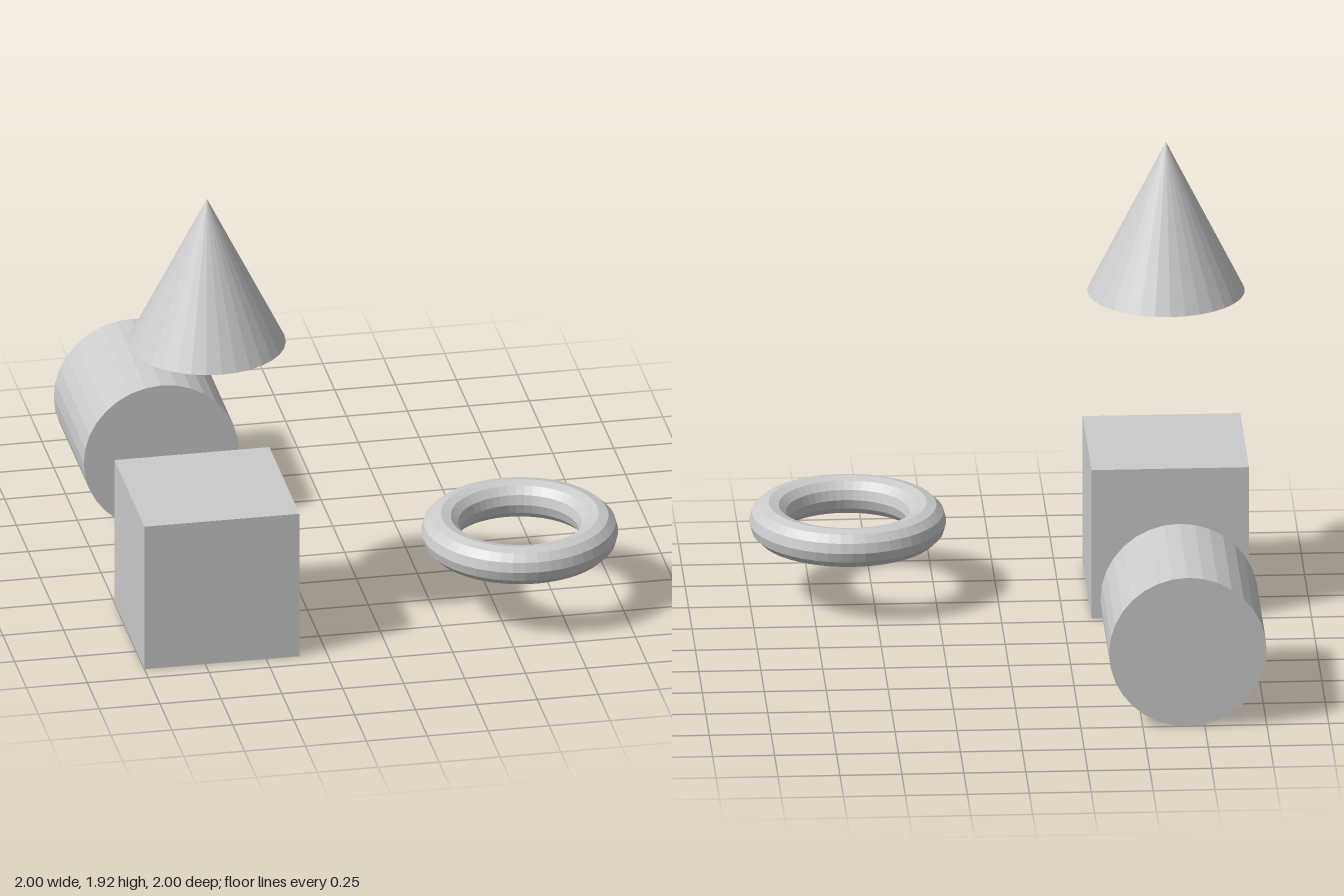
import * as THREE from 'three';

const R = 0.318;      // half size of the solids
const NEAR = 0.602;   // offset of the ring and front row
const FAR = -0.682;   // offset of the opposite side

export function createModel() {
  const group = new THREE.Group();
  const material = new THREE.MeshStandardMaterial({ color: 0xcccccc, flatShading: true });

  const add = (name, geometry, x, y, z) => {
    const mesh = new THREE.Mesh(geometry, material);
    mesh.name = name;
    mesh.position.set(x, y, z);
    group.add(mesh);
    return mesh;
  };

  // Cube at the front right corner, resting on the ground
  add('cube', new THREE.BoxGeometry(2 * R, 2 * R, 2 * R), FAR, R, NEAR);

  // Cone floating above the cube
  add('cone', new THREE.ConeGeometry(R, 2 * R, 32), FAR, 1.604, NEAR);

  // Cylinder lying along z behind the cube
  const cylinder = add('cylinder', new THREE.CylinderGeometry(R, R, 2 * R, 32), FAR, R, FAR);
  cylinder.rotation.x = Math.PI / 2;

  // Flat ring on the left, level with the cube's centre
  const ring = add('ring', new THREE.TorusGeometry(R, R / 4, 12, 48), NEAR, R + 0.006, NEAR);
  ring.rotation.x = Math.PI / 2;

  return group;
}
